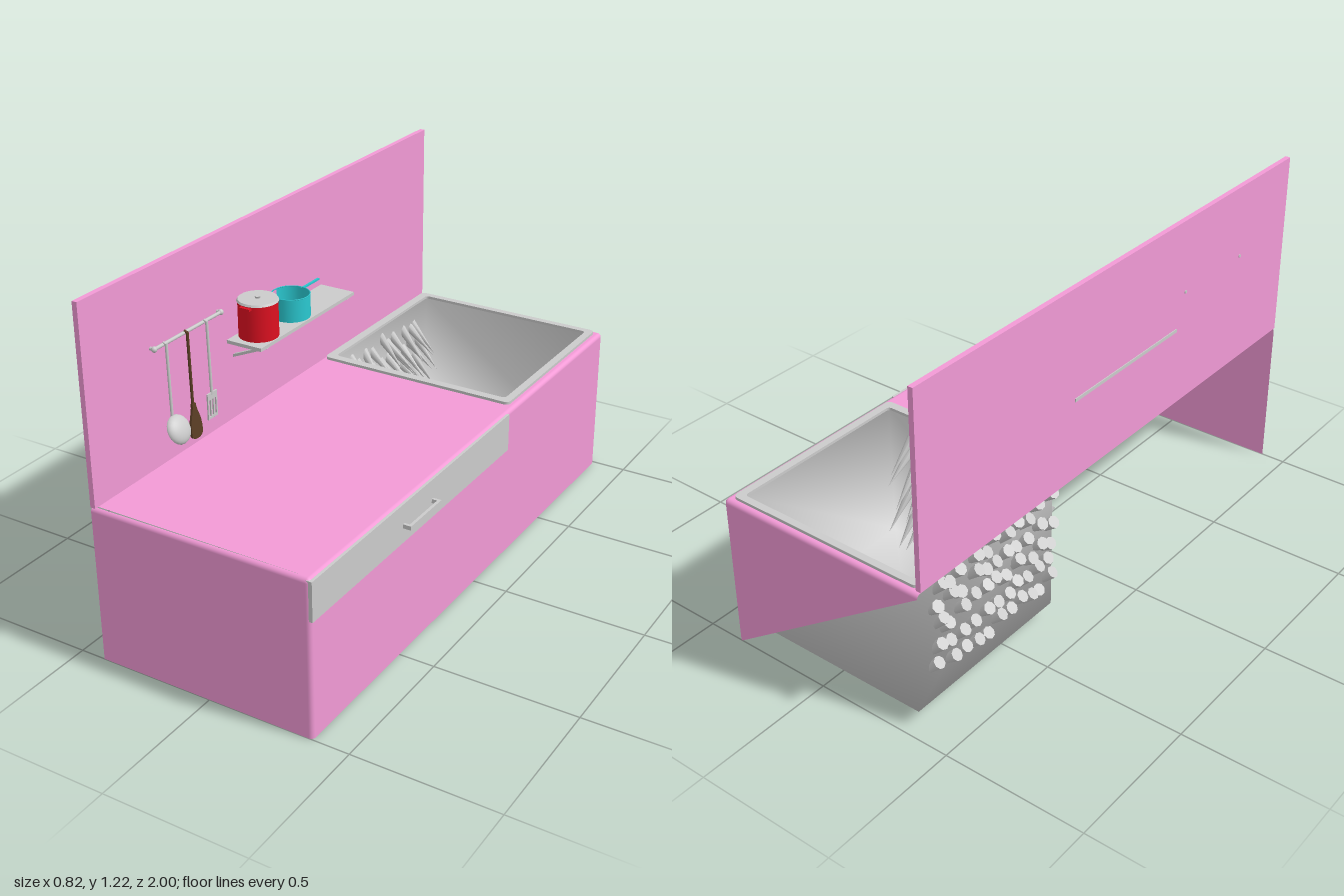
import * as THREE from 'three';
import { mergeVertices } from 'three/addons/utils/BufferGeometryUtils.js';
import { RoundedBoxGeometry } from 'three/addons/geometries/RoundedBoxGeometry.js';

const mat = (color) => new THREE.MeshStandardMaterial({ color, side: THREE.DoubleSide });
const pink = mat(0xf29ad6), grey = mat(0xcccccc), red = mat(0xdd1020), cyan = mat(0x2ac8d0), brown = mat(0x5a3d24);

function add(parent, name, geo, material, x = 0, y = 0, z = 0) {
  const m = new THREE.Mesh(geo, material);
  m.name = name;
  m.position.set(x, y, z);
  parent.add(m);
  return m;
}
function group(parent, name, x = 0, y = 0, z = 0) {
  const g = new THREE.Group();
  g.name = name;
  g.position.set(x, y, z);
  parent.add(g);
  return g;
}
const box = (x, y, z) => new THREE.BoxGeometry(x, y, z);
const cyl = (r, h, n = 12, r2 = r, open = false) => new THREE.CylinderGeometry(r, r2, h, n, 1, open);

// Remove the triangles whose three corners all pass a test
function drop(geo, test) {
  const g = geo.index ? geo.toNonIndexed() : geo, p = g.attributes.position, n = g.attributes.normal;
  const pos = [], nor = [];
  for (let i = 0; i < p.count; i += 3) {
    const ids = [i, i + 1, i + 2];
    if (ids.every((k) => test(p.getX(k), p.getY(k), p.getZ(k)))) continue;
    for (const k of ids) {
      pos.push(p.getX(k), p.getY(k), p.getZ(k));
      nor.push(n.getX(k), n.getY(k), n.getZ(k));
    }
  }
  const out = new THREE.BufferGeometry();
  out.setAttribute('position', new THREE.Float32BufferAttribute(pos, 3));
  out.setAttribute('normal', new THREE.Float32BufferAttribute(nor, 3));
  return out;
}

// Rounded rectangle on the plan; shape y is -z
function roundRect(x0, x1, z0, z1, r, Type = THREE.Shape) {
  const s = new Type(), a = -z1, b = -z0;
  s.moveTo(x0 + r, a);
  s.lineTo(x1 - r, a); s.quadraticCurveTo(x1, a, x1, a + r);
  s.lineTo(x1, b - r); s.quadraticCurveTo(x1, b, x1 - r, b);
  s.lineTo(x0 + r, b); s.quadraticCurveTo(x0, b, x0, b - r);
  s.lineTo(x0, a + r); s.quadraticCurveTo(x0, a, x0 + r, a);
  return s;
}

function rod(parent, name, a, b, r, material) {
  const A = new THREE.Vector3(...a), B = new THREE.Vector3(...b);
  const m = add(parent, name, cyl(r, A.distanceTo(B), 10), material);
  m.position.copy(A).add(B).multiplyScalar(0.5);
  m.quaternion.setFromUnitVectors(new THREE.Vector3(0, 1, 0), B.sub(A).normalize());
  return m;
}

// Counter shell, open at the back and below, with a sink opening
function addCounter(root) {
  const g = group(root, 'counter');
  const shell = new RoundedBoxGeometry(0.815, 0.58, 2, 3, 0.015).translate(-0.0325, 0.26, 0);
  const p = shell.attributes.position;
  for (let i = 0; i < p.count; i++) {
    p.setX(i, Math.max(p.getX(i), -0.41));
    p.setY(i, Math.max(p.getY(i), 0));
  }
  add(g, 'counterWalls', drop(shell, (x, y) => x < -0.4099 || y < 0.0001 || y > 0.5499), pink);
  const top = new THREE.Shape([[-0.41, -0.985], [0.36, -0.985], [0.36, 0.985], [-0.41, 0.985]].map((v) => new THREE.Vector2(...v)));
  top.holes.push(roundRect(-0.36, 0.328, -0.958, -0.292, 0.01, THREE.Path));
  add(g, 'countertop', new THREE.ShapeGeometry(top).rotateX(-Math.PI / 2), pink, 0, 0.55, 0);
  add(g, 'backsplash', box(0.018, 0.67, 1.985), pink, -0.402, 0.885, 0.0075);
}

// Deep basin with softly shaded walls and a raised rim
function addSink(root) {
  const g = group(root, 'sink');
  const rim = roundRect(-0.388, 0.352, -0.98, -0.265, 0.02);
  rim.holes.push(roundRect(-0.357, 0.325, -0.955, -0.295, 0.015, THREE.Path));
  const rimGeo = new THREE.ExtrudeGeometry(rim, { depth: 0.01, bevelEnabled: false });
  add(g, 'sinkRim', rimGeo.rotateX(-Math.PI / 2), grey, 0, 0.55, 0);
  let basin = drop(box(0.684, 0.495, 0.662), (x, y) => y > 0.247);
  basin.deleteAttribute('normal');
  basin = mergeVertices(basin);
  basin.computeVertexNormals();
  add(g, 'basin', basin, grey, -0.016, 0.3075, -0.625);

  // Spikes piercing two walls and slanting down into the basin
  let seed = 7;
  const rnd = () => ((seed = (seed * 16807) % 2147483647) / 2147483647) - 0.5;
  const up = new THREE.Vector3(0, 1, 0), spikes = group(g, 'spikes');
  for (const onBack of [true, false]) {
    for (let row = 0; row < 5; row++) {
      for (let i = 0; i < 11; i++) {
        const t = (i + 0.5 + rnd() * 0.6) / 11, y = 0.17 + row * 0.078 + rnd() * 0.04;
        const lean = rnd() * 0.3, drop = -0.75 + rnd() * 0.3;
        const at = onBack ? new THREE.Vector3(-0.357, y, -0.9 + t * 0.59) : new THREE.Vector3(-0.34 + t * 0.6, y, -0.295);
        const dir = (onBack ? new THREE.Vector3(0.75, drop, lean) : new THREE.Vector3(lean, drop, -0.75)).normalize();
        const len = row === 0 ? 0.17 : 0.19 + rnd() * 0.03;
        const m = add(spikes, 'spike', new THREE.ConeGeometry(0.021, len, 8), grey);
        m.position.copy(at).addScaledVector(dir, len / 2 - 0.045);
        m.quaternion.setFromUnitVectors(up, dir);
      }
    }
  }
}

function addDrawer(root) {
  const g = group(root, 'drawer');
  add(g, 'drawerFront', box(0.02, 0.135, 1.215), grey, 0.371, 0.477, 0.39);
  add(g, 'handleBar', box(0.01, 0.014, 0.19), grey, 0.405, 0.47, 0.4);
  for (const s of [-1, 1]) add(g, 'handlePost', box(0.03, 0.014, 0.01), grey, 0.39, 0.47, 0.4 + s * 0.09);
}

function addShelf(root) {
  const g = group(root, 'shelf');
  add(g, 'shelfBoard', box(0.157, 0.012, 0.565), grey, -0.3355, 0.836, 0.0275);
  for (const z of [0.272, -0.215]) {
    const brace = add(g, 'shelfBrace', box(0.155, 0.009, 0.014), grey, -0.331, 0.801, z);
    brace.rotation.z = Math.atan2(0.06, 0.138);
  }

  const pot = group(g, 'pot', -0.328, 0.842, 0.22);
  add(pot, 'potBody', cyl(0.067, 0.124, 32), red, 0, 0.062, 0);
  add(pot, 'potLid', cyl(0.066, 0.007, 32, 0.07), grey, 0, 0.127, 0);
  add(pot, 'lidKnob', cyl(0.011, 0.008, 16, 0.008), grey, 0, 0.134, 0);
  for (const s of [-1, 1]) add(pot, 'potHandle', box(0.04, 0.008, 0.016), red, 0, 0.116, s * 0.07);

  const pan = group(g, 'saucepan', -0.328, 0.842, 0.03);
  add(pan, 'panWall', cyl(0.066, 0.08, 32, 0.066, true), cyan, 0, 0.04, 0);
  add(pan, 'panBase', cyl(0.066, 0.004, 32), cyan, 0, 0.003, 0);
  add(pan, 'panRim', new THREE.TorusGeometry(0.065, 0.002, 6, 32).rotateX(Math.PI / 2), cyan, 0, 0.08, 0);
  add(pan, 'panHandle', box(0.008, 0.006, 0.107), cyan, 0, 0.074, -0.117);
}

// Wall rail with three hanging tools
function addRail(root) {
  const g = group(root, 'utensilRail');
  const X = -0.378;
  rod(g, 'rail', [X, 0.96, 0.355], [X, 0.96, 0.695], 0.006, grey);
  for (const z of [0.355, 0.695]) {
    add(g, 'railEnd', new THREE.SphereGeometry(0.01, 12, 8), grey, X, 0.96, z);
    rod(g, 'railMount', [-0.414, 0.96, z], [X, 0.96, z], 0.006, grey);
  }
  const hx = -0.367;
  const tools = [['ladle', 0.65, grey, 0.7], ['spatula', 0.545, brown, 0.7], ['turner', 0.445, grey, 0.71]];
  for (const [name, z, material, low] of tools) {
    const t = group(g, name, 0, 0, z);
    rod(t, name + 'Handle', [hx, 0.965, 0], [hx + 0.006, low, 0], 0.005, material);
    rod(t, name + 'Hook', [X, 0.967, 0], [hx, 0.962, 0], 0.004, material);
    if (name === 'ladle') {
      const bowl = new THREE.SphereGeometry(0.049, 20, 8, 0, Math.PI * 2, Math.PI / 2, Math.PI / 2);
      const m = add(t, 'ladleBowl', bowl.scale(1, 0.5, 1), grey, -0.34, 0.678, 0);
      m.rotation.z = -Math.PI / 2 + 0.48 + Math.PI;
    } else if (name === 'spatula') {
      const s = new THREE.Shape();
      s.moveTo(-0.008, 0.12);
      s.bezierCurveTo(-0.01, 0.08, -0.029, 0.08, -0.028, 0.02);
      s.quadraticCurveTo(-0.026, 0, 0, 0);
      s.quadraticCurveTo(0.026, 0, 0.028, 0.02);
      s.bezierCurveTo(0.029, 0.08, 0.01, 0.08, 0.008, 0.12);
      const blade = new THREE.ExtrudeGeometry(s, { depth: 0.008, bevelEnabled: false, curveSegments: 8 });
      const m = add(t, 'spatulaBlade', blade.rotateY(Math.PI / 2), brown, -0.354, 0.6, 0);
      m.rotation.z = 0.08;
    } else {
      add(t, 'turnerTop', box(0.005, 0.024, 0.05), grey, -0.361, 0.706, 0);
      add(t, 'turnerTip', box(0.005, 0.008, 0.05), grey, -0.361, 0.632, 0);
      for (const k of [-1.5, -0.5, 0.5, 1.5]) add(t, 'turnerBar', box(0.005, 0.075, 0.006), grey, -0.361, 0.664, k * 0.0145);
    }
  }
}

export function createModel() {
  const root = new THREE.Group();
  root.name = 'kitchenCounter';
  addCounter(root);
  addSink(root);
  addDrawer(root);
  addShelf(root);
  addRail(root);
  return root;
}
